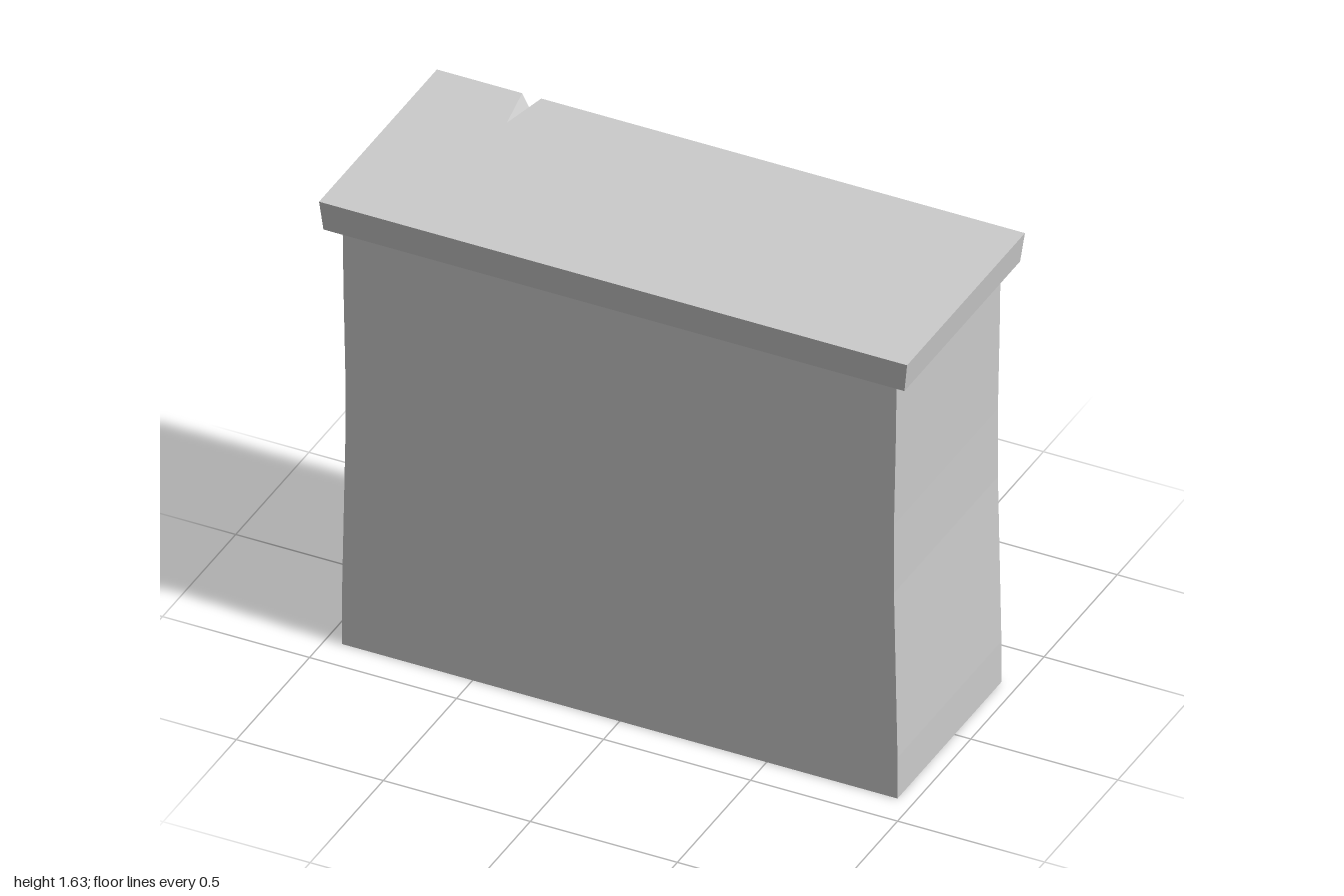
import * as THREE from 'three';

const grey = new THREE.MeshStandardMaterial({ color: 0xcccccc });
grey.name = 'grey';

function mesh(name, geometry) {
  const m = new THREE.Mesh(geometry, grey);
  m.name = name;
  return m;
}

// Flat-shaded geometry from polygons, each fanned from its first corner
function fromPolygons(polygons) {
  const pos = [];
  for (const p of polygons)
    for (let i = 1; i < p.length - 1; i++) pos.push(...p[0], ...p[i], ...p[i + 1]);
  const g = new THREE.BufferGeometry();
  g.setAttribute('position', new THREE.Float32BufferAttribute(pos, 3));
  g.computeVertexNormals();
  return g;
}

// Cabinet carcass with slightly pinched sides
function body() {
  const side = [[0.945, 0], [0.945, 0.15], [0.94, 0.4], [0.933, 0.75], [0.933, 1.0], [0.939, 1.3], [0.942, 1.518]];
  const outline = [...side, ...side.map(([x, y]) => [-x, y]).reverse()];
  const shape = new THREE.Shape(outline.map(([x, y]) => new THREE.Vector2(x, y)));
  const g = new THREE.ExtrudeGeometry(shape, { depth: 0.71, bevelEnabled: false });
  return mesh('body', g.translate(0, 0, -0.32));
}

// Flared worktop with a chipped back edge
function worktop() {
  const ring = (x, y, z0, z1) => [[-x, y, z1], [x, y, z1], [x, y, z0], [-x, y, z0]];
  const under = ring(0.94, 1.513, -0.322, 0.392);
  const low = ring(0.988, 1.532, -0.361, 0.429);
  const top = ring(1, 1.634, -0.37, 0.435);
  const chipL = [-0.71, 1.634, -0.37], chipR = [-0.645, 1.634, -0.37];
  const tip = [-0.68, 1.634, -0.205], deep = [-0.677, 1.58, -0.365];
  const faces = [[...under].reverse()];
  for (let i = 0; i < 4; i++) {
    const j = (i + 1) % 4;
    faces.push([under[i], under[j], low[j], low[i]]);
    if (i !== 2) faces.push([low[i], low[j], top[j], top[i]]);
  }
  faces.push([deep, chipR, top[2], low[2], low[3], top[3], chipL]);
  faces.push([tip, chipL, top[3], top[0], top[1], top[2], chipR]);
  faces.push([chipL, tip, deep], [tip, chipR, deep]);
  return mesh('worktop', fromPolygons(faces));
}

// Door panel whose outer face is a little smaller than its inner face
function door(name, x) {
  const g = new THREE.BoxGeometry(0.884, 1.425, 0.046);
  const p = g.attributes.position;
  for (let i = 0; i < p.count; i++)
    if (p.getZ(i) > 0) p.setXY(i, p.getX(i) * 1.017, p.getY(i) * 1.018);
  g.computeVertexNormals();
  const m = mesh(name, g);
  m.position.set(x, 0.763, -0.349);
  return m;
}

// Bowed pull with flared feet: [height from middle, z, half width, half thickness]
function handle(name, x) {
  const half = [
    [0.03, -0.423, 0.028, 0.012], [0.068, -0.423, 0.028, 0.012], [0.1, -0.411, 0.024, 0.012],
    [0.125, -0.393, 0.019, 0.012], [0.143, -0.377, 0.02, 0.012], [0.16, -0.373, 0.026, 0.013],
    [0.176, -0.371, 0.026, 0.012], [0.185, -0.37, 0.016, 0.006], [0.187, -0.37, 0.001, 0.001],
  ];
  const path = [...half.map(([y, ...r]) => [-y, ...r]).reverse(), ...half];
  const sides = 12, pos = [], index = [];
  path.forEach(([y, z, w, t], i) => {
    const a = path[Math.max(i - 1, 0)], b = path[Math.min(i + 1, path.length - 1)];
    const len = Math.hypot(b[0] - a[0], b[1] - a[1]);
    const ty = (b[0] - a[0]) / len, tz = (b[1] - a[1]) / len;
    for (let j = 0; j < sides; j++) {
      const ang = (j / sides) * Math.PI * 2, s = Math.sin(ang) * t;
      pos.push(Math.cos(ang) * w, y - tz * s, z + ty * s);
      if (i < path.length - 1) {
        const k = i * sides + j, n = i * sides + (j + 1) % sides;
        index.push(k, k + sides, n, n, k + sides, n + sides);
      }
    }
  });
  const g = new THREE.BufferGeometry();
  g.setAttribute('position', new THREE.Float32BufferAttribute(pos, 3));
  g.setIndex(index);
  g.computeVertexNormals();
  const m = mesh(name, g);
  m.position.set(x, 0.825, 0);
  return m;
}

export function createModel() {
  const group = new THREE.Group();
  group.name = 'cabinet';
  group.add(
    body(), worktop(),
    door('leftDoor', 0.446), door('rightDoor', -0.458),
    handle('leftHandle', 0.065), handle('rightHandle', -0.075),
  );
  return group;
}
